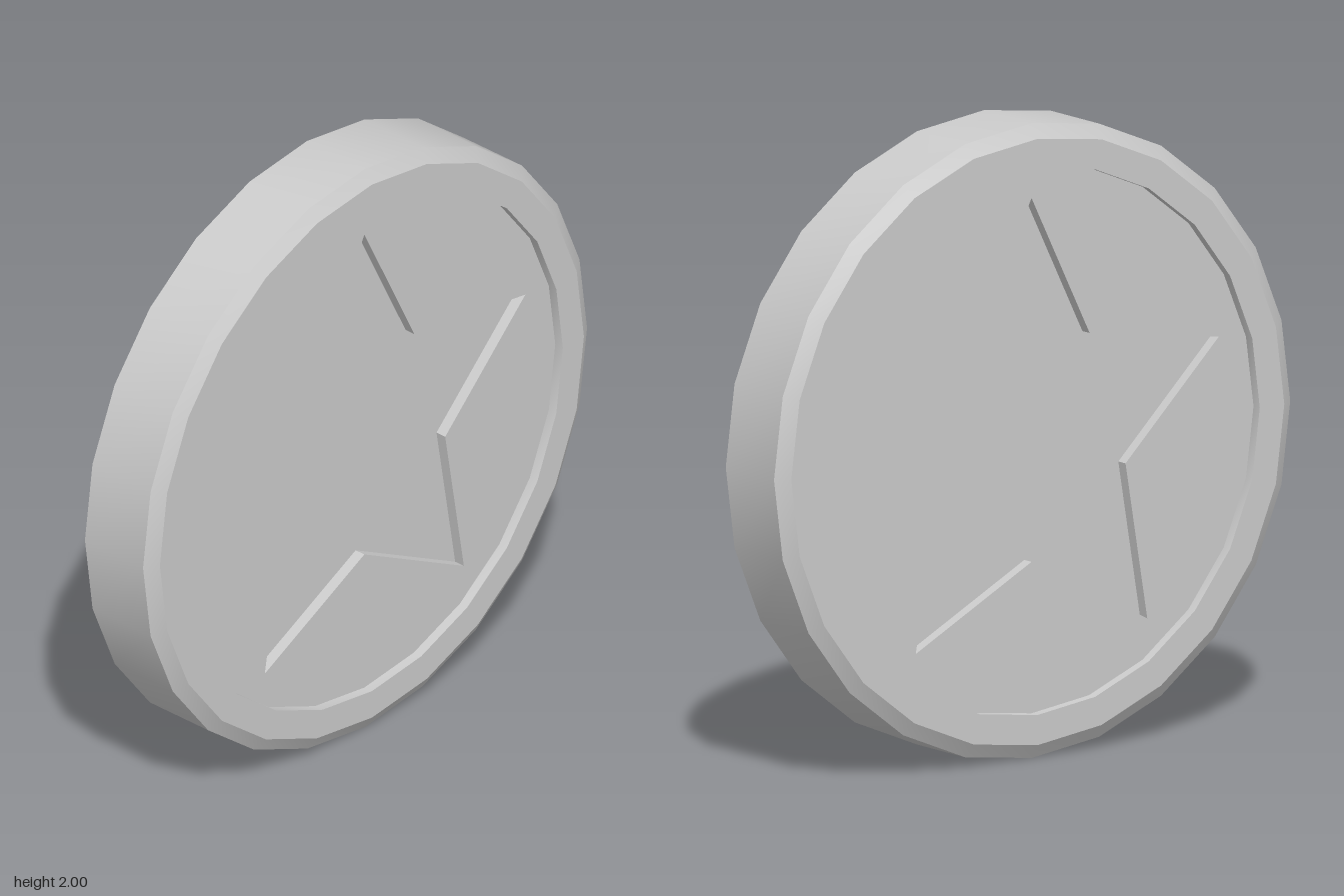
import * as THREE from 'three';
import { toCreasedNormals } from 'three/addons/utils/BufferGeometryUtils.js';

const SIDES = 24;
const RIM_Z = 0.152; // half thickness at the rim
const FACE_Z = 0.12; // recessed face
const FLOOR_Z = 0.083; // floor of the star
const RIM_INNER = 0.86;

// Ring of points starting at the top; radii alternate for a star
function ringPoints(count, radii) {
  return Array.from({ length: count }, (_, i) => {
    const a = Math.PI / 2 + (i / count) * Math.PI * 2;
    const r = radii[i % radii.length];
    return new THREE.Vector2(Math.cos(a) * r, Math.sin(a) * r);
  });
}

export function createModel() {
  const coin = new THREE.Group();
  coin.name = 'coin';
  const material = new THREE.MeshStandardMaterial({ color: 0xcccccc });

  const add = (name, geometry) => {
    const mesh = new THREE.Mesh(geometry, material);
    mesh.name = name;
    mesh.position.y = 1;
    coin.add(mesh);
    return mesh;
  };

  // Raised rim with bevelled outer edges
  const half = [
    [1, 0.123],
    [0.955, RIM_Z],
    [RIM_INNER, RIM_Z],
    [RIM_INNER, FACE_Z],
  ];
  const profile = [
    ...half.map(([r, z]) => new THREE.Vector2(r, -z)).reverse(),
    ...half.map(([r, z]) => new THREE.Vector2(r, z)),
  ];
  const rim = new THREE.LatheGeometry(profile, SIDES).rotateX(Math.PI / 2);
  add('rim', toCreasedNormals(rim, 0.45));

  // Recessed disc with a star cut through it
  const starPoints = ringPoints(10, [0.763, 0.383]);
  const disc = new THREE.Shape(ringPoints(SIDES, [RIM_INNER]));
  disc.holes.push(new THREE.Path(starPoints));
  const plate = new THREE.ExtrudeGeometry(disc, { depth: FACE_Z * 2, bevelEnabled: false });
  add('plate', plate.translate(0, 0, -FACE_Z));

  // Sunken star floors on both faces
  const floor = new THREE.ShapeGeometry(new THREE.Shape(starPoints)).translate(0, 0, FLOOR_Z);
  add('frontStarFloor', floor);
  add('backStarFloor', floor).rotation.y = Math.PI;

  return coin;
}
